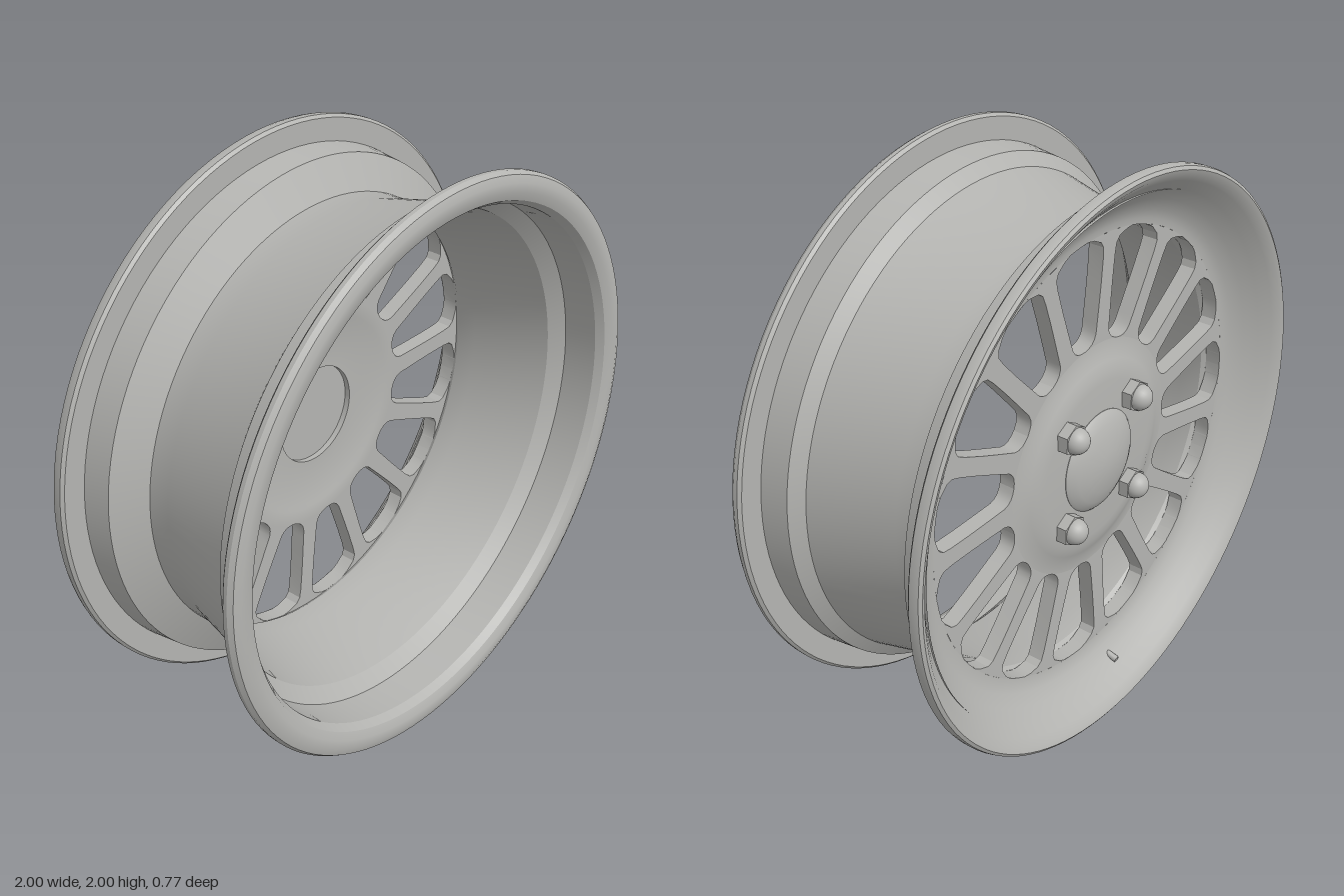
import * as THREE from 'three';
import { toCreasedNormals } from 'three/addons/utils/BufferGeometryUtils.js';

const CREASE = 0.5;
const SPOKES = 15;

// Revolve an (r, z) profile about the wheel axis
function revolve(profile, segments = 120) {
  const g = new THREE.LatheGeometry(profile.map(([r, z]) => new THREE.Vector2(r, z)), segments);
  g.rotateX(Math.PI / 2);
  return toCreasedNormals(g, CREASE);
}

// One spoke along +x: closed cross-sections that widen to meet its neighbours at both ends
function spokeGeometry() {
  // radius, half width of the window between spokes
  const windowShape = [
    [0.41, 0], [0.413, 0.02], [0.42, 0.037], [0.432, 0.05], [0.45, 0.06], [0.48, 0.067],
    [0.54, 0.081], [0.62, 0.099], [0.7, 0.115], [0.735, 0.119], [0.755, 0.108],
    [0.772, 0.075], [0.78, 0.045], [0.78, 0],
  ];
  const across = 4, ring = 2 * (across + 1);
  const pos = [], index = [];
  windowShape.forEach(([r, h], i) => {
    const half = Math.PI / SPOKES - h / r;
    for (let j = 0; j < ring; j++) {
      const outer = j <= across;
      const t = outer ? j / across : (ring - 1 - j) / across;
      const a = half * (2 * t - 1);
      pos.push(r * Math.cos(a), r * Math.sin(a), outer ? -0.246 : -0.19);
      if (i < windowShape.length - 1) {
        const p = i * ring + j, q = i * ring + (j + 1) % ring;
        index.push(p, q, p + ring, q, q + ring, p + ring);
      }
    }
  });
  const g = new THREE.BufferGeometry();
  g.setAttribute('position', new THREE.Float32BufferAttribute(pos, 3));
  g.setIndex(index);
  return toCreasedNormals(g, CREASE);
}

export function createModel() {
  const model = new THREE.Group();
  model.name = 'wheelRim';
  const wheel = new THREE.Group();
  wheel.name = 'wheel';
  wheel.position.y = 1;
  model.add(wheel);

  const alloy = new THREE.MeshStandardMaterial({ color: 0xb4b4b1 });
  alloy.name = 'silver alloy';

  const add = (name, geometry, parent = wheel) => {
    const m = new THREE.Mesh(geometry, alloy);
    m.name = name;
    parent.add(m);
    return m;
  };

  // Barrel with both lips and the concave dish, as one closed section
  add('barrel', revolve([
    [0.985, -0.385], [0.996, -0.378], [1, -0.365], [1, -0.345], [0.99, -0.335], [0.912, -0.335],
    [0.9, -0.24], [0.785, -0.18], [0.785, -0.1], [0.855, 0.2], [0.9, 0.235], [0.912, 0.335],
    [0.99, 0.335], [1, 0.345], [1, 0.36], [0.99, 0.376], [0.965, 0.385], [0.935, 0.383],
    [0.908, 0.372], [0.89, 0.345], [0.882, 0.225], [0.835, 0.18], [0.77, -0.1], [0.77, -0.175],
    [0.78, -0.19], [0.78, -0.246], [0.8, -0.248], [0.83, -0.259], [0.87, -0.287],
    [0.91, -0.324], [0.945, -0.358], [0.968, -0.378], [0.985, -0.385],
  ]));

  // Spokes
  const spokes = new THREE.Group();
  spokes.name = 'spokes';
  wheel.add(spokes);
  const spokeGeo = spokeGeometry();
  for (let i = 0; i < SPOKES; i++) {
    add('spoke', spokeGeo, spokes).rotation.z = (i * 2 * Math.PI) / SPOKES;
  }

  // Hub: raised on the outside, with a shallow recess and bore on the inside
  add('hub', revolve([
    [0, -0.277], [0.28, -0.276], [0.315, -0.272], [0.345, -0.262], [0.375, -0.25], [0.41, -0.246],
    [0.41, -0.19], [0.36, -0.19], [0.345, -0.196], [0.175, -0.196], [0.175, -0.216], [0, -0.216],
  ]));

  // Domed centre cap
  add('centreCap', revolve([
    [0, -0.326], [0.05, -0.323], [0.1, -0.314], [0.14, -0.302], [0.168, -0.288],
    [0.178, -0.278], [0.178, -0.265],
  ], 60));

  // Four domed lug nuts
  const hexGeo = new THREE.CylinderGeometry(0.055, 0.055, 0.045, 6);
  hexGeo.rotateX(Math.PI / 2);
  const nutBase = toCreasedNormals(hexGeo, CREASE);
  const nutDome = new THREE.SphereGeometry(0.045, 24, 10, 0, Math.PI * 2, 0, Math.PI / 2);
  nutDome.rotateX(-Math.PI / 2);
  for (const x of [-0.172, 0.172]) {
    for (const y of [-0.172, 0.172]) {
      const nut = new THREE.Group();
      nut.name = 'lugNut';
      nut.position.set(x, y, -0.29);
      add('nutBase', nutBase, nut);
      add('nutDome', nutDome, nut).position.z = -0.022;
      wheel.add(nut);
    }
  }

  // Valve stem through the dish near the bottom
  const from = new THREE.Vector3(-0.09, -0.875, -0.315);
  const to = new THREE.Vector3(-0.085, -0.835, -0.185);
  const valve = add('valveStem', new THREE.CylinderGeometry(0.012, 0.012, from.distanceTo(to), 12));
  valve.position.copy(from).add(to).multiplyScalar(0.5);
  valve.quaternion.setFromUnitVectors(new THREE.Vector3(0, 1, 0), to.clone().sub(from).normalize());

  return model;
}
